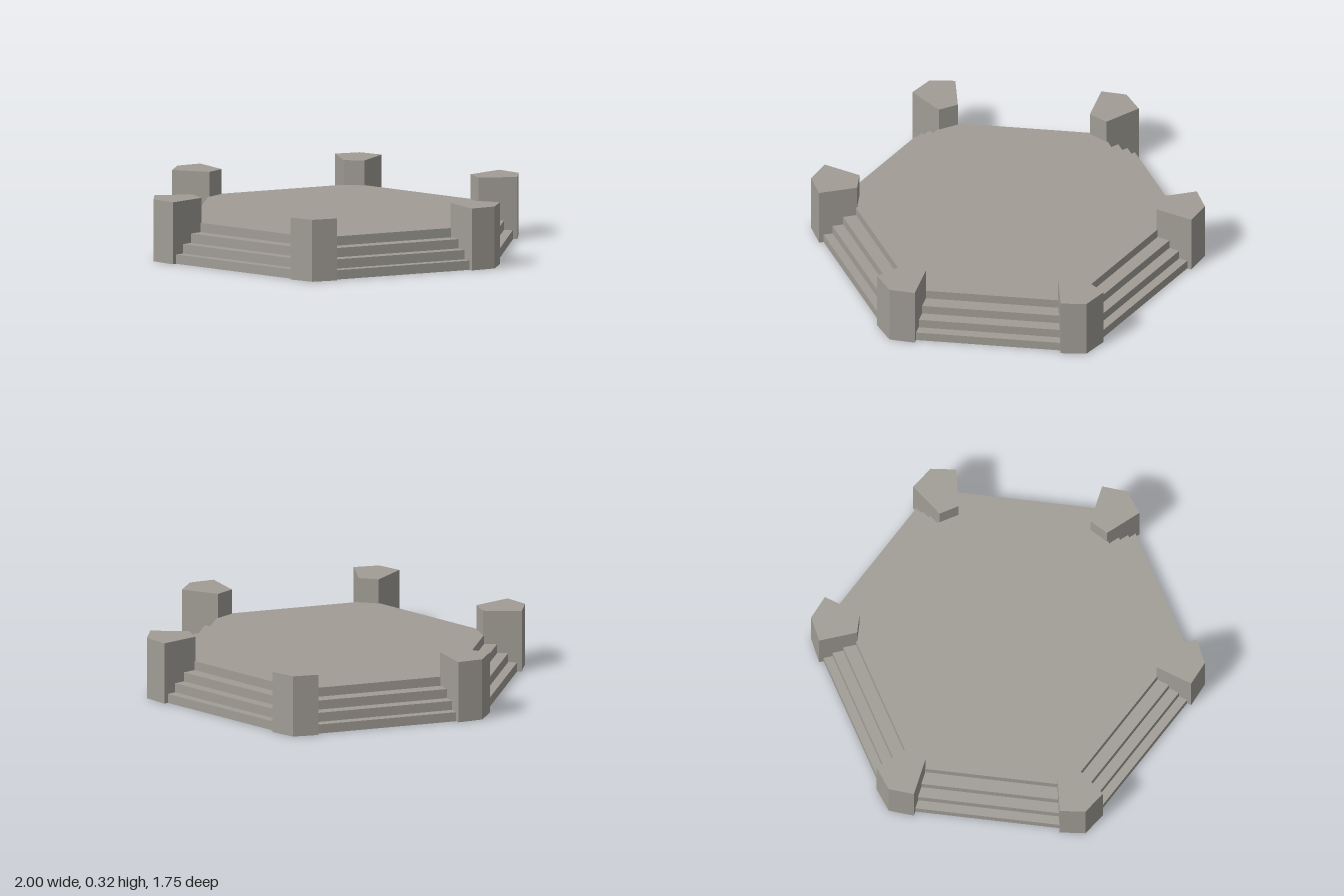
import * as THREE from 'three';

// Upright prism standing on y = 0, from a symmetric outline in x and z
function prism(points, height) {
  const shape = new THREE.Shape(points.map(([x, z]) => new THREE.Vector2(x, z)));
  const geometry = new THREE.ExtrudeGeometry(shape, { depth: height, bevelEnabled: false });
  return geometry.rotateX(-Math.PI / 2);
}

export function createModel() {
  const model = new THREE.Group();
  model.name = 'hexagonalPlatform';
  const stone = new THREE.MeshStandardMaterial({ color: 0xa19d96 });
  stone.name = 'stone grey';

  // Four stacked hexagonal steps; the top one forms the floor
  const stepHeight = 0.0475;
  [0.987, 0.935, 0.872, 0.797].forEach((radius, i) => {
    const corners = [];
    for (let k = 0; k < 6; k++) {
      const a = (k * Math.PI) / 3;
      corners.push([radius * Math.cos(a), radius * Math.sin(a)]);
    }
    const step = new THREE.Mesh(prism(corners, stepHeight), stone);
    step.position.y = i * stepHeight;
    step.name = i === 3 ? 'floor' : `step${i + 1}`;
    model.add(step);
  });

  // Wedge-shaped pillar on each corner, pointed outwards
  const pillarGeometry = prism(
    [[1, 0], [0.945, 0.118], [0.76, 0.052], [0.76, -0.052], [0.945, -0.118]].reverse(),
    0.317
  );
  for (let k = 0; k < 6; k++) {
    const pillar = new THREE.Mesh(pillarGeometry, stone);
    pillar.rotation.y = (k * Math.PI) / 3;
    pillar.name = `cornerPillar${k + 1}`;
    model.add(pillar);
  }
  return model;
}
